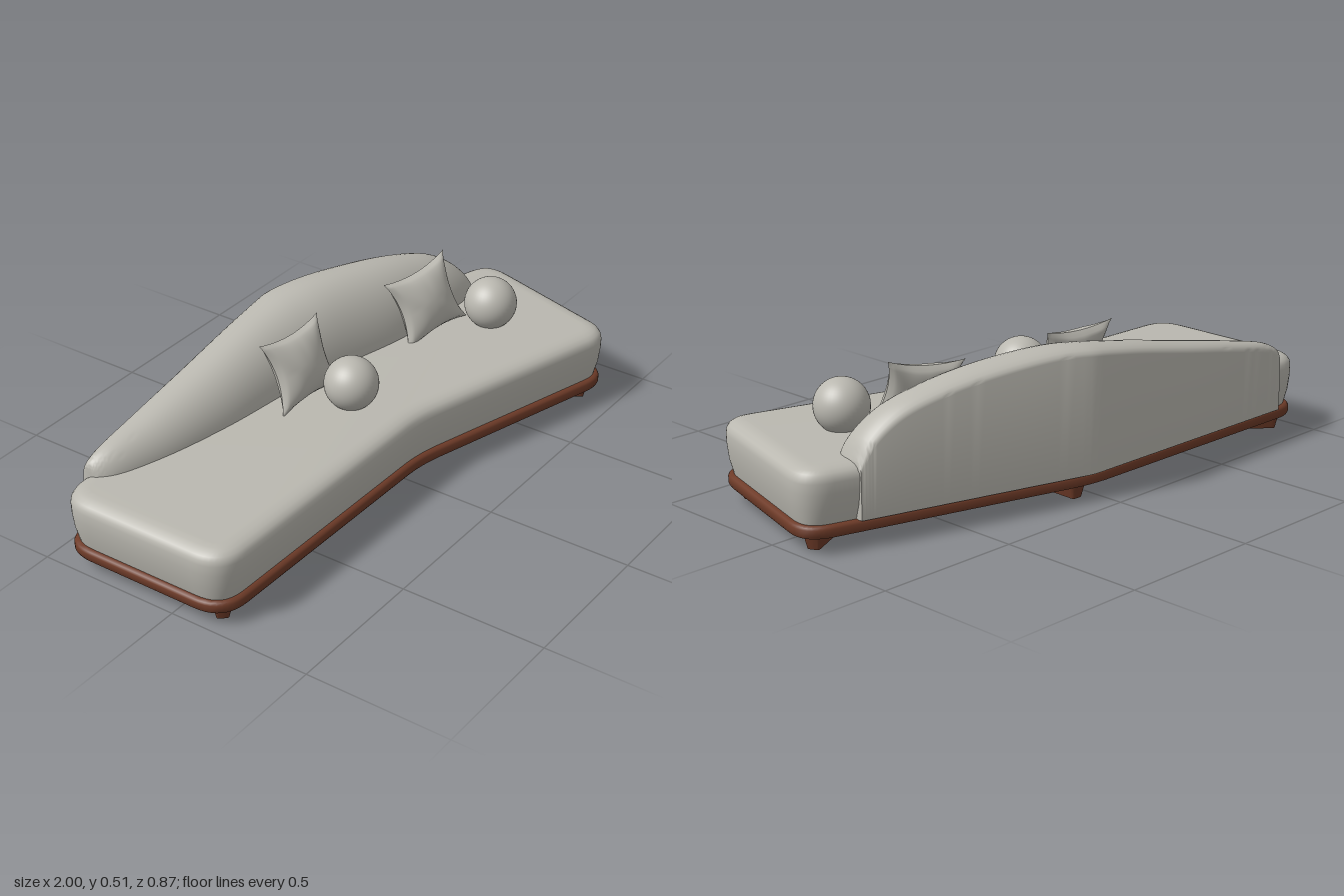
import * as THREE from 'three';
import { mergeGeometries, toCreasedNormals } from 'three/addons/utils/BufferGeometryUtils.js';

const fabric = new THREE.MeshStandardMaterial({ color: 0xbab8b0 });
fabric.name = 'greyFabric';
const wood = new THREE.MeshStandardMaterial({ color: 0x6e3b28 });
wood.name = 'brownWood';

function makeGeometry(positions, index, crease) {
  const g = new THREE.BufferGeometry();
  g.setAttribute('position', new THREE.Float32BufferAttribute(positions, 3));
  g.setIndex(index);
  return toCreasedNormals(g, crease);
}

// Rounds the corners [x, z, radius] of a plan outline
function roundOutline(corners, steps = 10) {
  const out = [];
  corners.forEach(([x, z, r], i) => {
    const n = corners.length;
    const c = new THREE.Vector2(x, z);
    const toward = ([px, pz]) => new THREE.Vector2(px, pz).sub(c).setLength(r).add(c);
    const curve = new THREE.QuadraticBezierCurve(
      toward(corners[(i + n - 1) % n]), c, toward(corners[(i + 1) % n]));
    out.push(...curve.getPoints(steps));
  });
  return out;
}

// Stacks inset copies of an outline; profile rows are [inset, y], bottom to top
function loft(outline, profile, crease = 0.6) {
  const n = outline.length;
  const positions = [], index = [];
  const rings = profile.map(([inset, y]) => outline.map((p, i) => {
    const d = outline[(i + 1) % n].clone().sub(outline[(i + n - 1) % n]).normalize();
    const q = new THREE.Vector2(p.x - d.y * inset, p.y + d.x * inset);
    positions.push(q.x, y, q.y);
    return q;
  }));
  for (let k = 0; k < rings.length - 1; k++) {
    for (let i = 0; i < n; i++) {
      const a = k * n + i, b = k * n + (i + 1) % n;
      index.push(a, a + n, b, b, a + n, b + n);
    }
  }
  const top = (rings.length - 1) * n;
  for (const [a, b, c] of THREE.ShapeUtils.triangulateShape(rings[0].slice(), [])) index.push(a, b, c);
  for (const [a, b, c] of THREE.ShapeUtils.triangulateShape(rings[rings.length - 1].slice(), [])) {
    index.push(top + a, top + c, top + b);
  }
  return makeGeometry(positions, index, crease);
}

// Backrest: sections with an upright back and a curved front, swept along x
function backrestGeometry() {
  const path = new THREE.CatmullRomCurve3([
    [-0.87, 0.27, -0.41], [-0.865, 0.30, -0.385], [-0.82, 0.33, -0.345], [-0.65, 0.37, -0.285],
    [-0.4, 0.42, -0.235], [-0.1, 0.48, -0.2], [0.12, 0.51, -0.155], [0.35, 0.495, -0.1],
    [0.55, 0.46, -0.075], [0.7, 0.41, -0.065], [0.79, 0.34, -0.08], [0.825, 0.28, -0.12],
    [0.835, 0.25, -0.2],
  ].map((p) => new THREE.Vector3(...p)));
  const backZ = (x) => (x < 0.05 ? -0.44 + (x + 1) * 0.0095 : -0.43 + (x - 0.05) * 0.273) - 0.005;
  const sections = 96, positions = [], index = [];
  let n = 0;
  for (let s = 0; s <= sections; s++) {
    const { x, y: h, z: zf } = path.getPoint(s / sections);
    const zb = backZ(x), zp = zb + 0.3 * (zf - zb), low = 0.24;
    const rise = Math.min(0.03, h - low);
    const section = [[zb, 0.09]];
    for (let i = 0; i <= 5; i++) {
      const a = (i / 5) * Math.PI / 2;
      section.push([zp + (zb - zp) * Math.cos(a), h - rise + rise * Math.sin(a)]);
    }
    for (let i = 1; i <= 14; i++) {
      const a = (i / 14) * Math.PI / 2;
      section.push([zp + (zf - zp) * Math.sin(a), low + (h - low) * Math.cos(a)]);
    }
    section.push([zf, 0.09]);
    n = section.length;
    for (const [z, y] of section) positions.push(x, y, z);
  }
  for (let s = 0; s < sections; s++) {
    for (let j = 0; j < n; j++) {
      const a = s * n + j, b = s * n + (j + 1) % n;
      index.push(a, b, a + n, b, b + n, a + n);
    }
  }
  const end = sections * n;
  for (let j = 1; j < n - 1; j++) index.push(0, j + 1, j, end, end + j, end + j + 1);
  return makeGeometry(positions, index, 0.75);
}

// Puffed square cushion with pinched edges and pointed corners
function pillowGeometry() {
  const front = new THREE.PlaneGeometry(2, 2, 24, 24);
  const p = front.attributes.position;
  for (let i = 0; i < p.count; i++) {
    const u = p.getX(i), v = p.getY(i);
    const puff = Math.sqrt(Math.max(0, (1 - u * u) * (1 - v * v)));
    const fold = 1 + 0.1 * Math.sin(7 * u + 3 * v) * Math.abs(u * v) * 2;
    p.setXYZ(i,
      0.14 * u * (1 - 0.22 * (1 - v * v)),
      0.125 * v * (1 - 0.16 * (1 - u * u)),
      0.052 * puff * fold);
  }
  front.computeVertexNormals();
  return mergeGeometries([front, front.clone().rotateY(Math.PI)]);
}

export function createModel() {
  const sofa = new THREE.Group();
  sofa.name = 'sofa';
  const add = (name, geometry, material, position = [0, 0, 0], rotation = [0, 0, 0]) => {
    const mesh = new THREE.Mesh(geometry, material);
    mesh.name = name;
    mesh.position.set(...position);
    mesh.rotation.set(...rotation);
    sofa.add(mesh);
  };

  // Angled plan shared by the seat and the plinth
  const plan = roundOutline([
    [-1, -0.44, 0.12], [0.05, -0.43, 0.08], [1.02, -0.165, 0.11],
    [0.84, 0.455, 0.11], [0.03, 0.215, 0.08], [-1, 0.2, 0.12],
  ]);
  add('seat', loft(plan, [
    [0.02, 0.09], [0.007, 0.14], [0.001, 0.19], [0, 0.225], [0.003, 0.24],
    [0.011, 0.252], [0.025, 0.261], [0.042, 0.266], [0.06, 0.268],
  ]), fabric);
  add('plinth', loft(plan, [
    [0.014, 0.05], [0.006, 0.053], [0.002, 0.06], [0.002, 0.08], [0.006, 0.087], [0.014, 0.091],
  ]), wood);
  add('backrest', backrestGeometry(), fabric);

  // Tapered blade legs: a V at each end and one bar under the bend
  const leg = (name, [px, pz], [qx, qz]) => {
    const d = new THREE.Vector2(qx - px, qz - pz).setLength(0.033);
    const r = 0.025;
    const outline = roundOutline([
      [px + d.y, pz - d.x, r], [qx + d.y, qz - d.x, r],
      [qx - d.y, qz + d.x, r], [px - d.y, pz + d.x, r],
    ], 5);
    add(name, loft(outline, [[0.013, 0], [0, 0.052]]), wood);
  };
  leg('leftFrontLeg', [0.80, 0.39], [0.605, 0.05]);
  leg('leftBackLeg', [0.95, -0.12], [0.605, 0.05]);
  leg('rightFrontLeg', [-0.94, 0.15], [-0.66, -0.12]);
  leg('rightBackLeg', [-0.94, -0.39], [-0.66, -0.12]);
  leg('middleLeg', [0.065, -0.39], [0.055, 0]);

  // Loose cushions
  const pillow = pillowGeometry();
  add('rightPillow', pillow, fabric, [-0.12, 0.38, -0.165], [-0.38, -0.08, -0.02]);
  add('leftPillow', pillow, fabric, [0.475, 0.373, -0.075], [-0.38, -0.24, 0.04]);
  const ball = new THREE.SphereGeometry(0.09, 40, 28);
  add('rightBallCushion', ball, fabric, [-0.06, 0.338, -0.005]);
  add('leftBallCushion', ball, fabric, [0.643, 0.338, 0.08]);
  return sofa;
}
